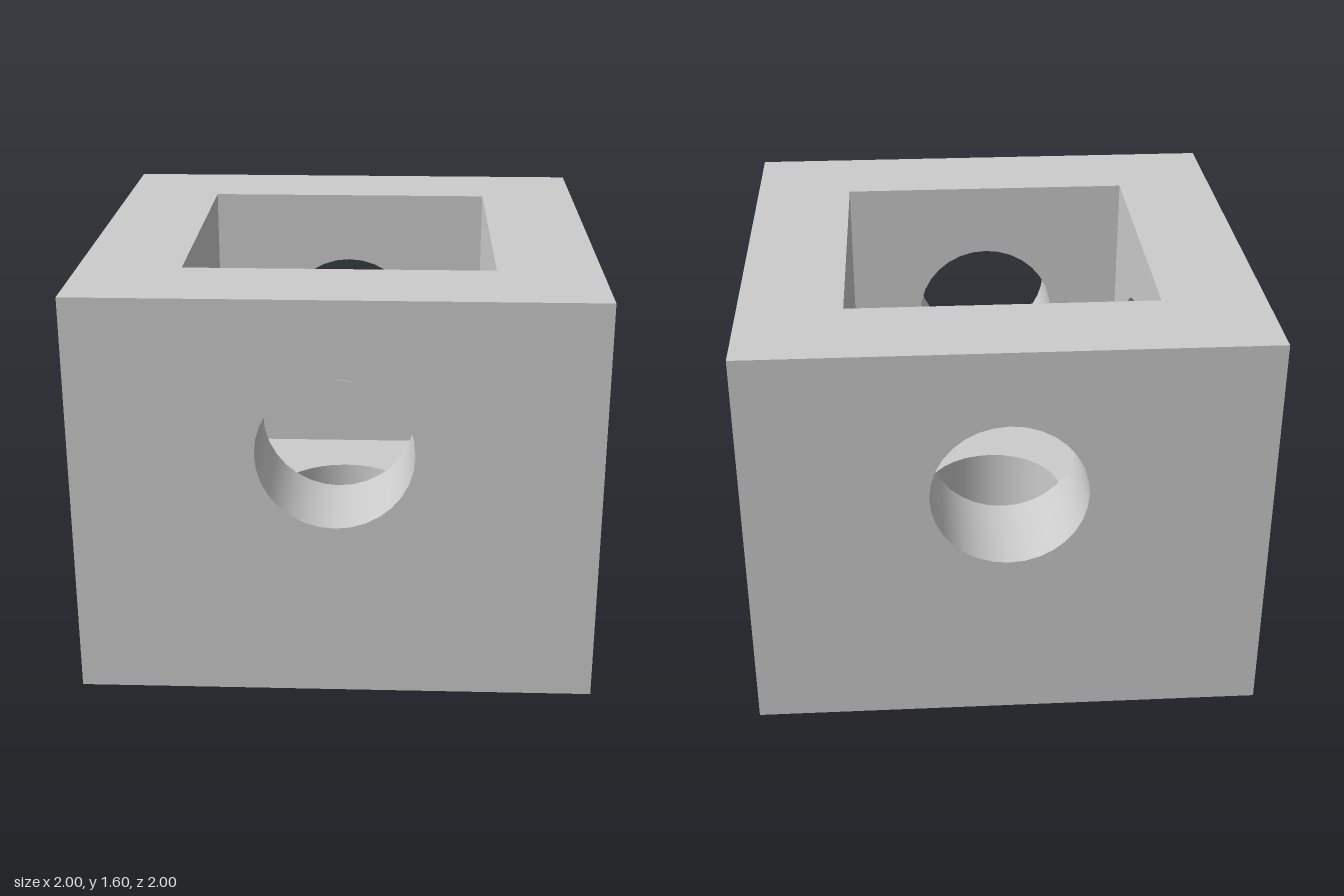
import * as THREE from 'three';
import { mergeGeometries } from 'three/addons/utils/BufferGeometryUtils.js';

const OUTER = 1;      // half width of the block
const INNER = 0.6;    // half width of the cavity
const HOLE = 0.3;     // radius of the round openings
const SEGMENTS = 32;

// Flat rectangle facing +z, with an opening cut by the given path
function face(halfWidth, bottom, top, opening) {
  const shape = new THREE.Shape([
    new THREE.Vector2(-halfWidth, bottom),
    new THREE.Vector2(halfWidth, bottom),
    new THREE.Vector2(halfWidth, top),
    new THREE.Vector2(-halfWidth, top),
  ]);
  shape.holes.push(opening);
  return new THREE.ShapeGeometry(shape, SEGMENTS / 2);
}

// One pierced side about the cavity centre: outer face, cavity face and bore
function piercedSide(outerTop) {
  const circle = new THREE.Path().absarc(0, 0, HOLE, 0, Math.PI * 2, true);
  const outside = face(OUTER, -OUTER, outerTop, circle).translate(0, 0, OUTER);
  const inside = face(INNER, -INNER, INNER, circle).rotateY(Math.PI).translate(0, 0, INNER);
  // Descending profile makes the bore face inwards
  const bore = new THREE.LatheGeometry(
    [new THREE.Vector2(HOLE, OUTER), new THREE.Vector2(HOLE, INNER)], SEGMENTS
  ).rotateX(Math.PI / 2);
  return mergeGeometries([outside, inside, bore]);
}

export function createModel() {
  const model = new THREE.Group();
  model.name = 'piercedBlock';
  const material = new THREE.MeshStandardMaterial({ color: 0xcccccc });

  function add(name, geometry) {
    const mesh = new THREE.Mesh(geometry.translate(0, OUTER, 0), material);
    mesh.name = name;
    model.add(mesh);
  }

  // Four walls, turned about the vertical axis
  ['frontWall', 'leftWall', 'backWall', 'rightWall'].forEach((name, i) => {
    add(name, piercedSide(INNER).rotateY(i * Math.PI / 2));
  });

  // Floor with its round opening
  add('floor', piercedSide(OUTER).rotateX(Math.PI / 2));

  // Flat rim around the square top opening
  const square = new THREE.Path([
    new THREE.Vector2(-INNER, -INNER),
    new THREE.Vector2(-INNER, INNER),
    new THREE.Vector2(INNER, INNER),
    new THREE.Vector2(INNER, -INNER),
  ]);
  add('topRim', face(OUTER, -OUTER, OUTER, square).rotateX(-Math.PI / 2).translate(0, INNER, 0));

  return model;
}
